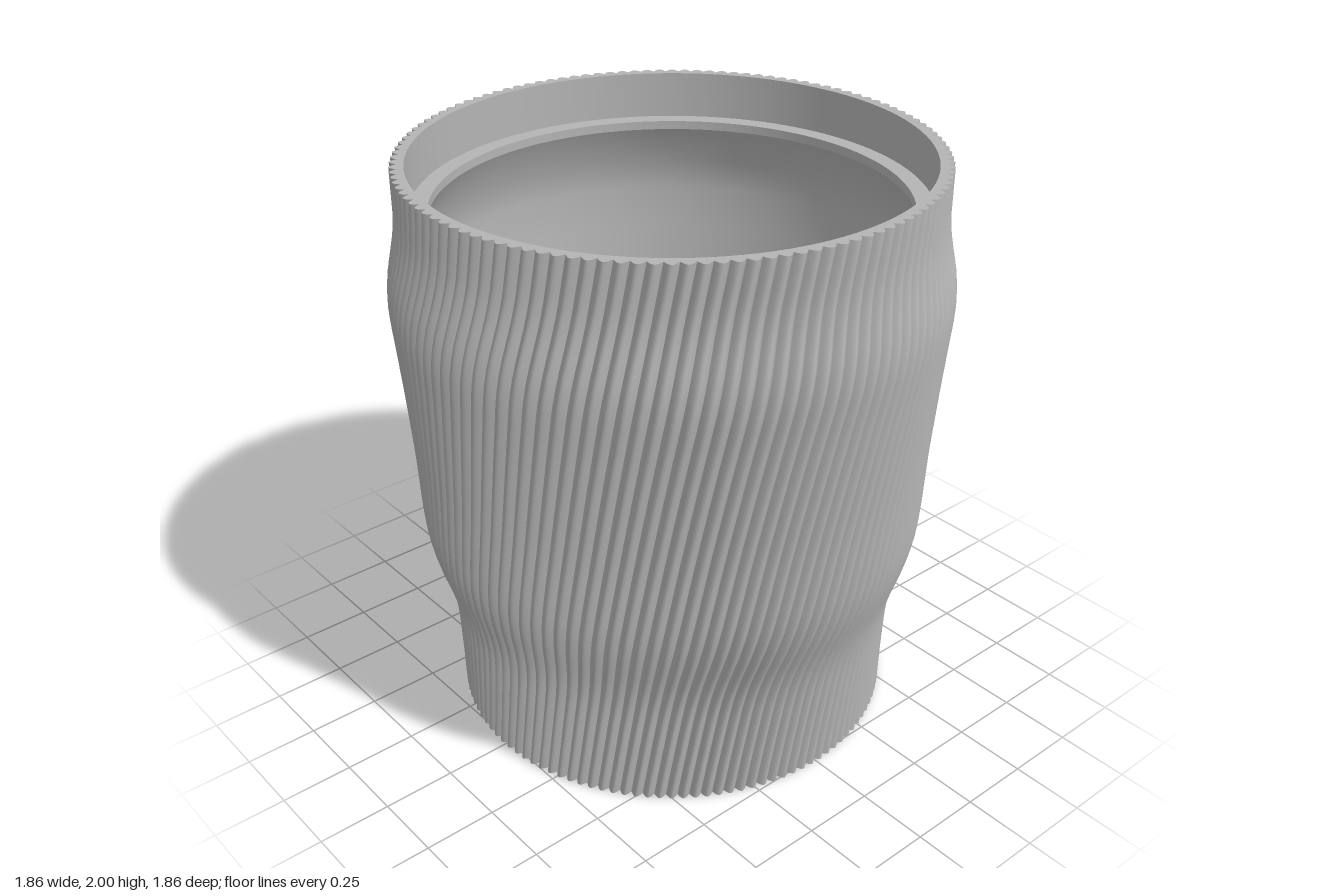
import * as THREE from 'three';
import { toCreasedNormals } from 'three/addons/utils/BufferGeometryUtils.js';

const RIBS = 120, RIB_STEPS = 8, ROWS = 40, HEIGHT = 2;
const TWIST = 0.42, RIB_DEPTH = 0.022;

// Outer silhouette as [height, radius]
const outline = [
  [0, 0.773], [0.2, 0.778], [0.4, 0.79], [0.5, 0.813], [0.6, 0.845], [0.7, 0.868],
  [0.8, 0.877], [1, 0.886], [1.2, 0.9], [1.4, 0.916], [1.55, 0.928], [1.64, 0.921],
  [1.74, 0.9], [1.83, 0.887], [1.92, 0.886], [2, 0.886],
];
const curve = new THREE.CatmullRomCurve3(outline.map(([y, r]) => new THREE.Vector3(r, y, 0)));

// A point on the ribbed surface: u counts ribs around, row is a point on the outline
function ribPoint(u, row) {
  const bulge = Math.sin(Math.PI * (u - Math.floor(u)));
  const r = row.x - RIB_DEPTH * (1 - bulge);
  const a = (u / RIBS) * Math.PI * 2 + TWIST * (row.y / HEIGHT);
  return [Math.sin(a) * r, row.y, Math.cos(a) * r];
}

// Each rib is its own smooth strip, so the grooves between ribs stay sharp
function ribbedWall() {
  const rows = curve.getSpacedPoints(ROWS);
  const pos = [], index = [], w = RIB_STEPS + 1;
  for (let rib = 0; rib < RIBS; rib++) {
    const start = pos.length / 3;
    rows.forEach((row, j) => {
      for (let i = 0; i <= RIB_STEPS; i++) {
        pos.push(...ribPoint(rib + i / RIB_STEPS, row));
        if (i < RIB_STEPS && j < ROWS) {
          const a = start + j * w + i;
          index.push(a, a + 1, a + w, a + 1, a + w + 1, a + w);
        }
      }
    });
  }
  const g = new THREE.BufferGeometry();
  g.setAttribute('position', new THREE.Float32BufferAttribute(pos, 3));
  g.setIndex(index);
  g.computeVertexNormals();
  return g;
}

// Flat scalloped outline at one end of the wall
function scallop(row, zSign) {
  const pts = [];
  for (let i = 0; i < RIBS * RIB_STEPS; i++) {
    const [x, , z] = ribPoint(i / RIB_STEPS, row);
    pts.push(new THREE.Vector2(x, z * zSign));
  }
  return new THREE.Shape(pts);
}

export function createModel() {
  const group = new THREE.Group();
  const grey = new THREE.MeshStandardMaterial({ color: 0xb4b4b4 });
  grey.name = 'grey';
  const add = (name, geometry) => {
    const mesh = new THREE.Mesh(geometry, grey);
    mesh.name = name;
    group.add(mesh);
  };

  add('ribbedWall', ribbedWall());

  // Rim ring on top
  const rimShape = scallop(curve.getPoint(1), -1);
  rimShape.holes.push(new THREE.Path().absarc(0, 0, 0.84, 0, Math.PI * 2, true));
  add('rim', new THREE.ShapeGeometry(rimShape, 60).rotateX(-Math.PI / 2).translate(0, HEIGHT, 0));

  // Underside
  add('base', new THREE.ShapeGeometry(scallop(curve.getPoint(0), 1)).rotateX(Math.PI / 2));

  // Lid recess, ledge, hollow and floor
  const inside = [
    [0.84, 2], [0.84, 1.84], [0.78, 1.84], [0.78, 1.81], [0.862, 1.66], [0.872, 1.55],
    [0.86, 1.4], [0.845, 1.2], [0.832, 1], [0.822, 0.8], [0.812, 0.7], [0.79, 0.6],
    [0.758, 0.5], [0.737, 0.4], [0.728, 0.2], [0.724, 0.08], [0.7, 0.05], [0, 0.05],
  ].map(([r, y]) => new THREE.Vector2(r, y));
  add('interior', toCreasedNormals(new THREE.LatheGeometry(inside, 120), 0.45));

  return group;
}
